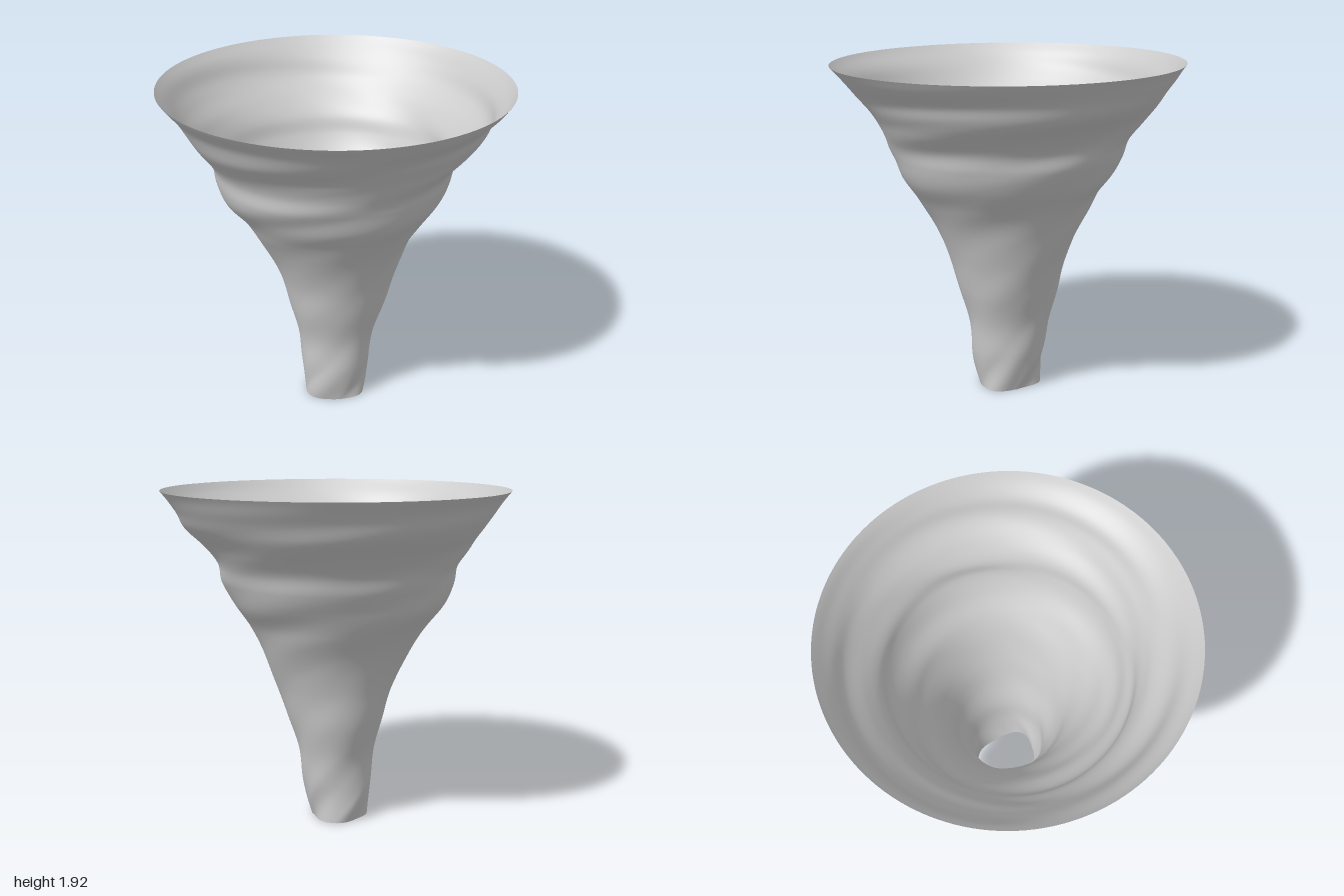
import * as THREE from 'three';
import { mergeVertices } from 'three/addons/utils/BufferGeometryUtils.js';

// height, then the radius towards front (+z), left (+x), back (-z), right (-x)
const SIDES = [
  [0, 0.166, 0.142, 0.2, 0.184],
  [0.2, 0.212, 0.193, 0.207, 0.205],
  [0.4, 0.229, 0.215, 0.245, 0.224],
  [0.6, 0.288, 0.28, 0.302, 0.276],
  [0.8, 0.346, 0.35, 0.345, 0.33],
  [1.0, 0.43, 0.422, 0.422, 0.432],
  [1.15, 0.522, 0.495, 0.51, 0.522],
  [1.28, 0.61, 0.588, 0.582, 0.632],
  [1.4, 0.655, 0.65, 0.652, 0.68],
  [1.5, 0.698, 0.668, 0.69, 0.7],
  [1.6, 0.747, 0.745, 0.768, 0.77],
  [1.7, 0.815, 0.85, 0.865, 0.835],
  [1.8, 0.9, 0.9, 0.917, 0.9],
  [1.915, 1, 0.988, 1, 0.99],
];
// height, ripple depth, ripple turns
const RIPPLES = [
  [0, 0.014, -0.75],
  [0.28, 0.01, 0],
  [0.72, 0.01, 1],
  [1.05, 0.012, 2],
  [1.33, 0.016, 3],
  [1.6, 0.013, 4],
  [1.85, 0.005, 5],
  [1.915, 0, 5.25],
];
const TOP = 1.915;
const LOBES = 3;
const QUARTER = Math.PI / 2;

// smooth lookup of a table by its first column
function smoothTable(rows) {
  const width = rows[0].length - 1;
  const curve = new THREE.CubicInterpolant(
    rows.map((r) => r[0]), rows.flatMap((r) => r.slice(1)), width, new Float32Array(width));
  return (y) => [...curve.evaluate(THREE.MathUtils.clamp(y, 0, TOP))];
}
const sides = smoothTable(SIDES);
const ripples = smoothTable(RIPPLES);

// flared tube with spiral ripples that tighten upwards
function rippledRadius(angle, y) {
  const mean = sides(y).reduce((a, b) => a + b) / 4;
  const [depth, turns] = ripples(y);
  return mean - depth * Math.sin(turns * Math.PI * 2 - LOBES * angle);
}

// what one side needs on top of the regular ripples
function unevenness(side, y) {
  return sides(y)[side] - rippledRadius(side * QUARTER, y);
}

// unevenness runs along the spiral from one side to the next
function radiusAt(angle, y) {
  const quarter = Math.floor(angle / QUARTER);
  const t = angle / QUARTER - quarter;
  const w = THREE.MathUtils.smoothstep(t, 0, 1);
  const rise = THREE.MathUtils.lerp(0.36, 0.2, y / TOP) * THREE.MathUtils.smoothstep(TOP - y, 0, 0.3);
  return rippledRadius(angle, y)
    + (1 - w) * unevenness(quarter % 4, y - rise * t)
    + w * unevenness((quarter + 1) % 4, y + rise * (1 - t));
}

export function createModel() {
  const group = new THREE.Group();
  group.name = 'twistedFunnel';

  // plain tube, open at both ends
  const points = [];
  const steps = 150;
  for (let i = 0; i <= steps; i++) points.push(new THREE.Vector2(1, (TOP * i) / steps));
  let geometry = new THREE.LatheGeometry(points, 144);

  // shape it into the twisted funnel
  const pos = geometry.attributes.position;
  for (let i = 0; i < pos.count; i++) {
    const y = pos.getY(i);
    const angle = (Math.atan2(pos.getX(i), pos.getZ(i)) + Math.PI * 2) % (Math.PI * 2);
    const r = radiusAt(angle, y);
    const dip = 0.006 * Math.cos(angle) * Math.pow(y / TOP, 8); // rim is a little uneven
    pos.setXYZ(i, r * Math.sin(angle), y - dip, r * Math.cos(angle));
  }

  // weld the seam so the shading stays smooth all round
  geometry.deleteAttribute('uv');
  geometry.deleteAttribute('normal');
  geometry = mergeVertices(geometry, 1e-5);
  geometry.computeVertexNormals();

  const shell = new THREE.Mesh(geometry,
    new THREE.MeshStandardMaterial({ color: 0xcccccc, side: THREE.DoubleSide }));
  shell.name = 'funnelShell';
  group.add(shell);
  return group;
}
